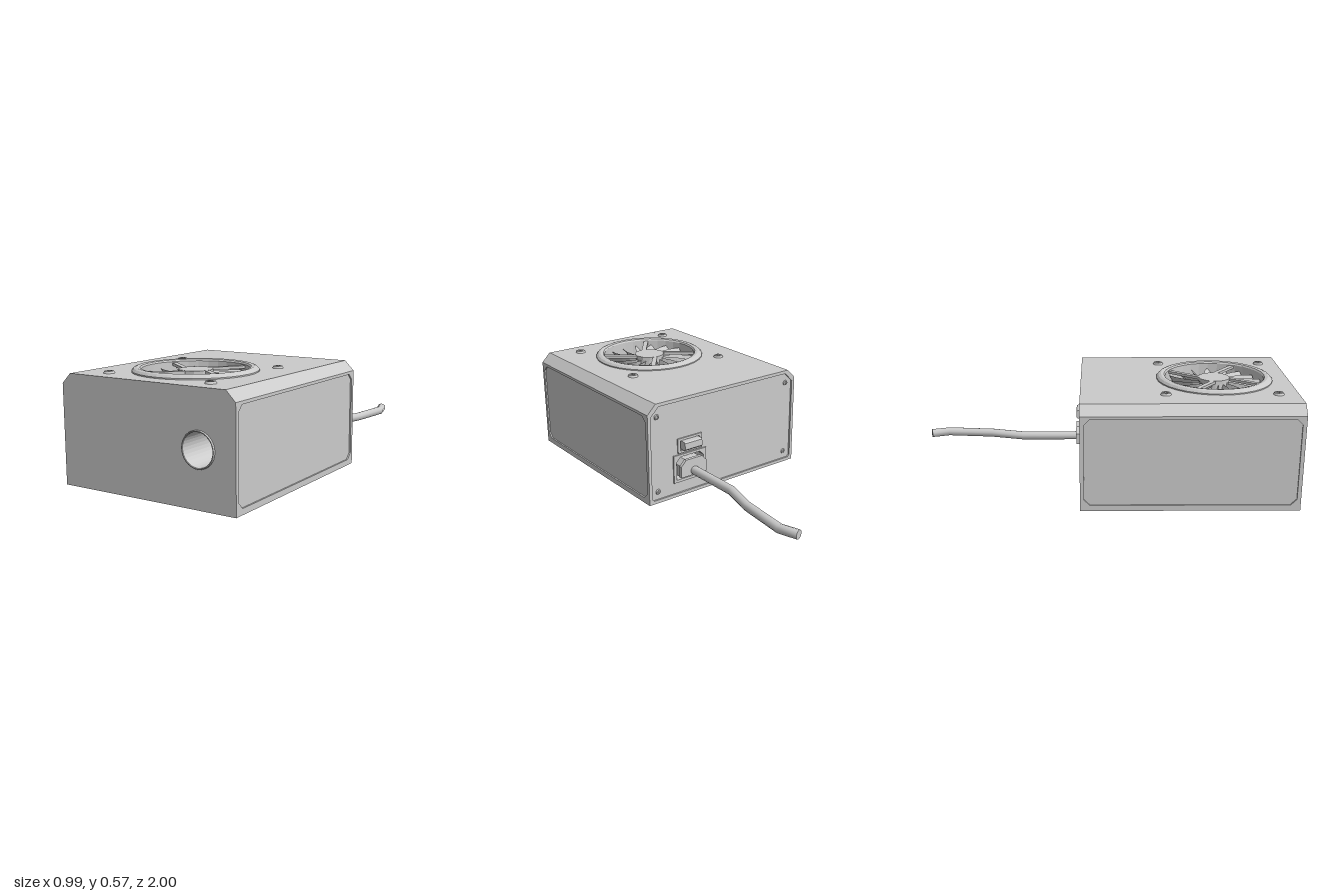
import * as THREE from 'three';

const grey = new THREE.MeshStandardMaterial({ color: 0xcccccc, flatShading: true, side: THREE.DoubleSide });
const smooth = new THREE.MeshStandardMaterial({ color: 0xcccccc, side: THREE.DoubleSide });

function add(parent, name, geometry, x = 0, y = 0, z = 0, material = grey) {
  const mesh = new THREE.Mesh(geometry, material);
  mesh.name = name;
  mesh.position.set(x, y, z);
  parent.add(mesh);
  return mesh;
}

// rectangle with cut corners: b for the bottom pair, t for the top pair
function cutRect(x0, y0, x1, y1, b, t, Type = THREE.Shape) {
  return new Type([[x0 + b, y0], [x1 - b, y0], [x1, y0 + b], [x1, y1 - t], [x1 - t, y1],
    [x0 + t, y1], [x0, y1 - t], [x0, y0 + b]].map(p => new THREE.Vector2(...p)));
}
const circle = (x, y, r) => new THREE.Path().absarc(x, y, r, 0, Math.PI * 2, true);
function plate(shape, depth, holes = []) {
  shape.holes.push(...holes);
  return new THREE.ExtrudeGeometry(shape, { depth, bevelEnabled: false, curveSegments: 32 });
}

// domed screw with a cross slot, facing +z
function screw(parent, name, r, h) {
  const g = new THREE.Group();
  g.name = name;
  const a = r * 0.16, b = r * 0.62;
  const slot = new THREE.Path([[a, a], [b, a], [b, -a], [a, -a], [a, -b], [-a, -b], [-a, -a], [-b, -a],
    [-b, a], [-a, a], [-a, b], [a, b]].map(p => new THREE.Vector2(...p)));
  const head = new THREE.Shape().absarc(0, 0, r * 0.8, 0, Math.PI * 2);
  add(g, 'screwHead', plate(head, h * 0.7, [slot]), 0, 0, h * 0.3);
  add(g, 'screwRim', new THREE.CylinderGeometry(r * 0.8, r, h, 16, 1, true), 0, 0, h / 2).rotation.x = Math.PI / 2;
  add(g, 'slotFloor', new THREE.CircleGeometry(r * 0.9, 16), 0, 0, h * 0.3);
  parent.add(g);
  return g;
}

// polyline whose vertices fall exactly on the tube's rings
class BentPath extends THREE.Curve {
  constructor(points) { super(); this.points = points; }
  getPoint(t, out = new THREE.Vector3()) {
    const n = this.points.length - 1, f = Math.min(Math.max(t, 0), 1) * n, i = Math.min(Math.floor(f), n - 1);
    return out.lerpVectors(this.points[i], this.points[i + 1], f - i);
  }
  getPointAt(u, out) { return this.getPoint(u, out); }
  getTangentAt(u, out) { return this.getTangent(u, out); }
}

function makeCase() {
  const g = new THREE.Group();
  g.name = 'case';
  g.position.z = 0.435;
  const W = 0.495, D = 0.555, H = 0.55, T = 0.02, L = D - T;

  // front wall with round cable outlet
  add(g, 'frontWall', plate(cutRect(-W, 0, W, H, 0, 0.05), T, [circle(0.3, 0.274, 0.084)]), 0, 0, L);
  const outlet = [[0.08, -0.2], [0.08, 0.008], [0.082, 0.01], [0.086, 0.01], [0.087, 0.008], [0.087, -0.02]];
  add(g, 'cableOutlet', new THREE.LatheGeometry(outlet.map(p => new THREE.Vector2(...p)), 32), 0.3, 0.274, D)
    .rotation.x = Math.PI / 2;
  add(g, 'outletEnd', new THREE.CircleGeometry(0.08, 32), 0.3, 0.274, D - 0.2);

  // bottom and top walls, the top one with the fan opening
  add(g, 'bottomWall', new THREE.BoxGeometry(2 * W, T, 2 * L), 0, T / 2, 0);
  const top = cutRect(-0.445, -L, 0.445, L, 0, 0);
  add(g, 'topWall', plate(top, T, [circle(0, -0.16, 0.275)]), 0, H - T, 0).rotation.x = -Math.PI / 2;

  // sides: sloped shoulder, frame and recessed panel
  for (const s of [-1, 1]) {
    const shoulder = new THREE.Shape([[0.445, 0.55], [0.495, 0.5], [0.475, 0.5], [0.445, 0.53]]
      .map(p => new THREE.Vector2(s * p[0], p[1])));
    add(g, 'shoulder', plate(shoulder, 2 * L), 0, 0, -L);
    const hole = cutRect(-0.54 + 0.005, 0.03, 0.54 - 0.005, 0.485, 0.03, 0.03, THREE.Path);
    const frame = add(g, 'sideFrame', plate(cutRect(-0.545, 0, 0.545, 0.5, 0, 0), 0.012, [hole]), s * (W - 0.012));
    frame.rotation.y = s * Math.PI / 2;
    add(g, 'sidePanel', new THREE.BoxGeometry(0.01, 0.48, 2 * L), s * (W - 0.013), 0.25, 0);
  }

  // back: rim and recessed panel with socket opening
  const rim = cutRect(-W + 0.018, 0.018, W - 0.018, H - 0.018, 0.012, 0.05, THREE.Path);
  add(g, 'backRim', plate(cutRect(-W, 0, W, H, 0, 0.05), T, [rim]), 0, 0, -D);
  const socketHole = cutRect(0.145, 0.095, 0.32, 0.222, 0, 0.025, THREE.Path);
  add(g, 'backPanel', plate(cutRect(-0.48, 0.01, 0.48, 0.54, 0, 0.05), 0.01, [socketHole]), 0, 0, -D + 0.01);
  for (const x of [-0.435, 0.435]) for (const y of [0.06, 0.475]) {
    const s = screw(g, 'backScrew', 0.015, 0.006);
    s.position.set(x, y, -D + 0.01);
    s.rotation.y = Math.PI;
  }

  // top screws around the fan
  for (const x of [-0.294, 0.294]) for (const z of [-0.12, 0.45]) {
    const s = screw(g, 'topScrew', 0.028, 0.011);
    s.position.set(x, H, z);
    s.rotation.x = -Math.PI / 2;
  }
  return g;
}

function makeFan() {
  const g = new THREE.Group();
  g.name = 'fan';
  g.position.set(0, 0.55, 0.595);
  // raised rim and the well below it
  const ring = [[0.262, -0.13], [0.262, 0.012], [0.268, 0.02], [0.285, 0.023], [0.298, 0.018], [0.309, 0.006], [0.309, -0.002]];
  add(g, 'fanRing', new THREE.LatheGeometry(ring.map(p => new THREE.Vector2(...p)), 32));
  add(g, 'wellFloor', new THREE.CircleGeometry(0.262, 32), 0, -0.13, 0).rotation.x = -Math.PI / 2;
  add(g, 'hub', new THREE.CylinderGeometry(0.08, 0.08, 0.12, 20), 0, -0.065, 0);
  add(g, 'hubCap', new THREE.CylinderGeometry(0.085, 0.085, 0.018, 12), 0, -0.001, 0);

  // four guard bars set tangentially to the hub
  for (let i = 0; i < 4; i++) {
    const arm = new THREE.Group();
    arm.name = 'guardArm';
    arm.rotation.y = i * Math.PI / 2;
    const a = [0.13, -0.23], b = [0, -0.06];
    const bar = add(arm, 'guardBar', new THREE.BoxGeometry(Math.hypot(a[0] - b[0], a[1] - b[1]), 0.014, 0.026),
      (a[0] + b[0]) / 2, 0, (a[1] + b[1]) / 2);
    bar.rotation.y = -Math.atan2(a[1] - b[1], a[0] - b[0]);
    g.add(arm);
  }

  // pitched, slightly swept blades
  const count = 17, pos = [], index = [], at = (r, a, y) => pos.push(r * Math.cos(a), y, r * Math.sin(a));
  for (let j = 0; j <= 4; j++) {
    const r = 0.075 + 0.18 * j / 4, sweep = 0.35 * j / 4;
    at(r, sweep, -0.015);
    at(r, sweep + 0.36, -0.11);
    if (j < 4) index.push(2 * j, 2 * j + 1, 2 * j + 2, 2 * j + 1, 2 * j + 3, 2 * j + 2);
  }
  const blade = new THREE.BufferGeometry();
  blade.setAttribute('position', new THREE.Float32BufferAttribute(pos, 3));
  blade.setIndex(index);
  blade.computeVertexNormals();
  for (let i = 0; i < count; i++) add(g, 'blade', blade).rotation.y = i * Math.PI * 2 / count;
  return g;
}

function makePower() {
  const g = new THREE.Group();
  g.name = 'powerInlet';
  const x = 0.232;
  // socket surround and its cavity
  const hole = cutRect(-0.088, 0.095, 0.088, 0.222, 0, 0.025, THREE.Path);
  add(g, 'socketFrame', plate(cutRect(-0.105, 0.08, 0.105, 0.235, 0, 0), 0.008, [hole]), x, 0, -0.118);
  const inner = cutRect(-0.088, 0.095, 0.088, 0.222, 0, 0.025, THREE.Path);
  add(g, 'socketWall', plate(cutRect(-0.1, 0.085, 0.1, 0.23, 0, 0), 0.08, [inner]), x, 0, -0.1);
  add(g, 'socketBack', new THREE.BoxGeometry(0.2, 0.145, 0.005), x, 0.1575, -0.018);
  // plug and strain relief
  add(g, 'plug', plate(cutRect(-0.075, 0.115, 0.075, 0.208, 0, 0.03), 0.105), x, 0, -0.135);
  add(g, 'plugFlange', plate(cutRect(-0.083, 0.118, 0.083, 0.212, 0, 0.032), 0.018), x, 0, -0.152);
  // rocker switch
  const opening = cutRect(-0.062, 0.255, 0.062, 0.313, 0, 0, THREE.Path);
  add(g, 'switchFrame', plate(cutRect(-0.077, 0.243, 0.077, 0.325, 0, 0), 0.008, [opening]), x, 0, -0.118);
  const rocker = new THREE.Shape([[-0.15, 0.305], [-0.15, 0.27], [-0.142, 0.262], [-0.1, 0.262], [-0.1, 0.31], [-0.142, 0.31]]
    .map(p => new THREE.Vector2(-p[0], p[1])));
  add(g, 'switchRocker', plate(rocker, 0.11), x + 0.055, 0, 0).rotation.y = Math.PI / 2;
  g.children.at(-1).position.x = x - 0.055;

  // bent power cord
  const pts = [[0.23, -0.14], [0.23, -0.46], [0.278, -0.64], [0.304, -0.895], [0.273, -0.993]]
    .map(p => new THREE.Vector3(p[0], 0.142, p[1]));
  add(g, 'cord', new THREE.TubeGeometry(new BentPath(pts), 4, 0.024, 10, false), 0, 0, 0, smooth);
  const end = add(g, 'cordEnd', new THREE.CircleGeometry(0.024, 10), ...pts[4].toArray());
  end.lookAt(pts[4].clone().multiplyScalar(2).sub(pts[3]));
  return g;
}

export function createModel() {
  const model = new THREE.Group();
  model.name = 'powerSupply';
  model.add(makeCase(), makeFan(), makePower());
  return model;
}
